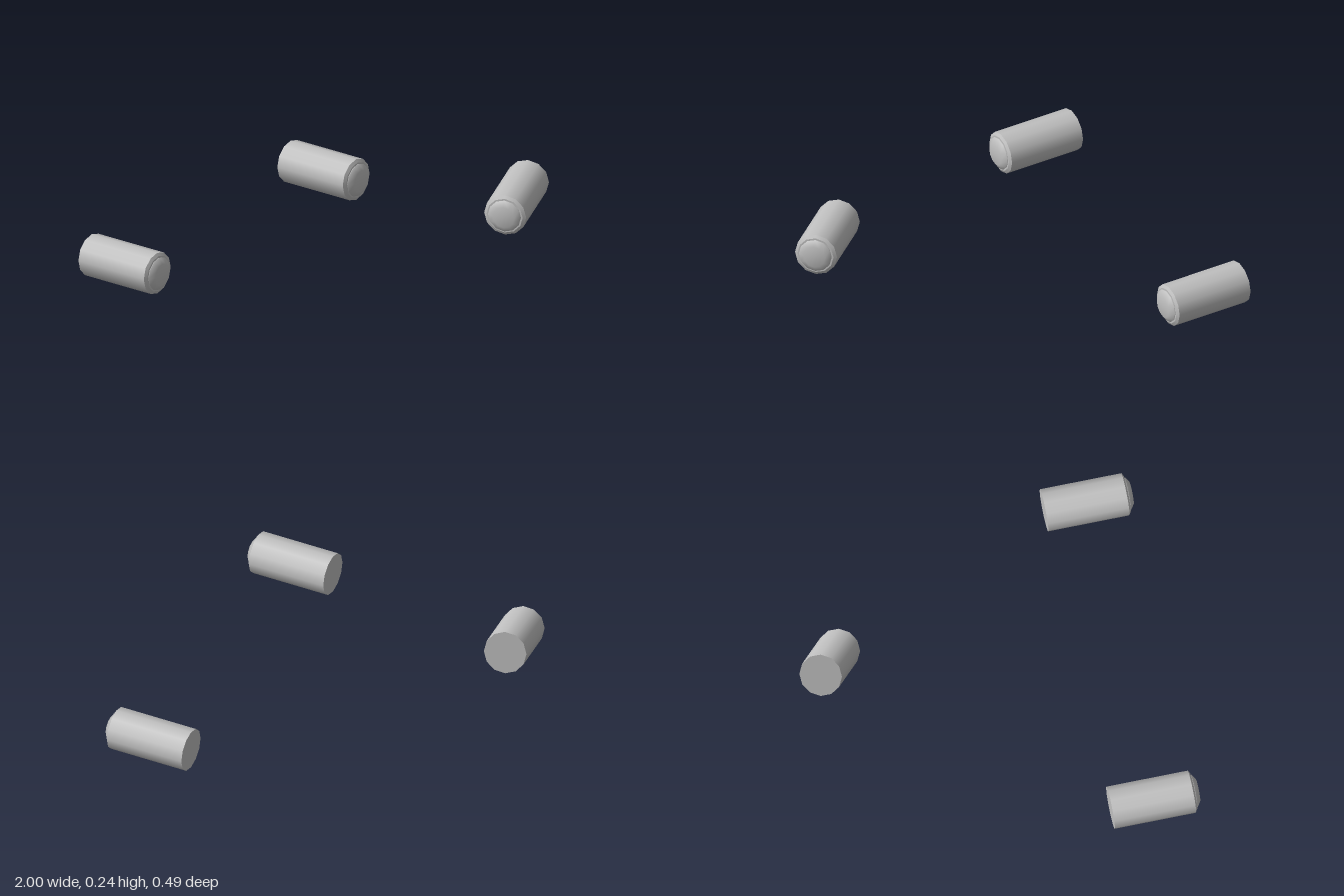
import * as THREE from 'three';

const SIDES = 12;
const RADIUS = 0.119;

// Revolves [radius, z] points about the z axis
function turned(name, points, material) {
  const geometry = new THREE.LatheGeometry(points.map(([r, z]) => new THREE.Vector2(r, z)), SIDES);
  geometry.rotateX(Math.PI / 2);
  const mesh = new THREE.Mesh(geometry, material);
  mesh.name = name;
  return mesh;
}

function createLamp(name, material) {
  const lamp = new THREE.Group();
  lamp.name = name;

  // Straight housing, bevelled front rim and the flat ring inside it
  lamp.add(turned('housing', [[RADIUS, -0.244], [RADIUS, 0.208]], material));
  lamp.add(turned('bevelledRim', [[RADIUS, 0.208], [0.102, 0.218]], material));
  lamp.add(turned('rimFace', [[0.102, 0.218], [0.092, 0.218]], material));

  // Softly shaded raised front
  lamp.add(turned('lens', [[0.092, 0.217], [0.093, 0.223], [0.061, 0.244], [0, 0.244]], material));

  // Flat back
  const back = new THREE.Mesh(new THREE.CircleGeometry(RADIUS, SIDES), material);
  back.name = 'backCap';
  back.rotation.y = Math.PI;
  back.position.z = -0.244;
  lamp.add(back);
  return lamp;
}

export function createModel() {
  const model = new THREE.Group();
  model.name = 'lampPair';
  const grey = new THREE.MeshStandardMaterial({ color: 0xc0c0c0 });
  grey.name = 'light grey';

  for (const side of [-1, 1]) {
    const lamp = createLamp(side > 0 ? 'leftLamp' : 'rightLamp', grey);
    lamp.position.set(side * (1 - RADIUS), RADIUS, 0);
    model.add(lamp);
  }
  return model;
}
